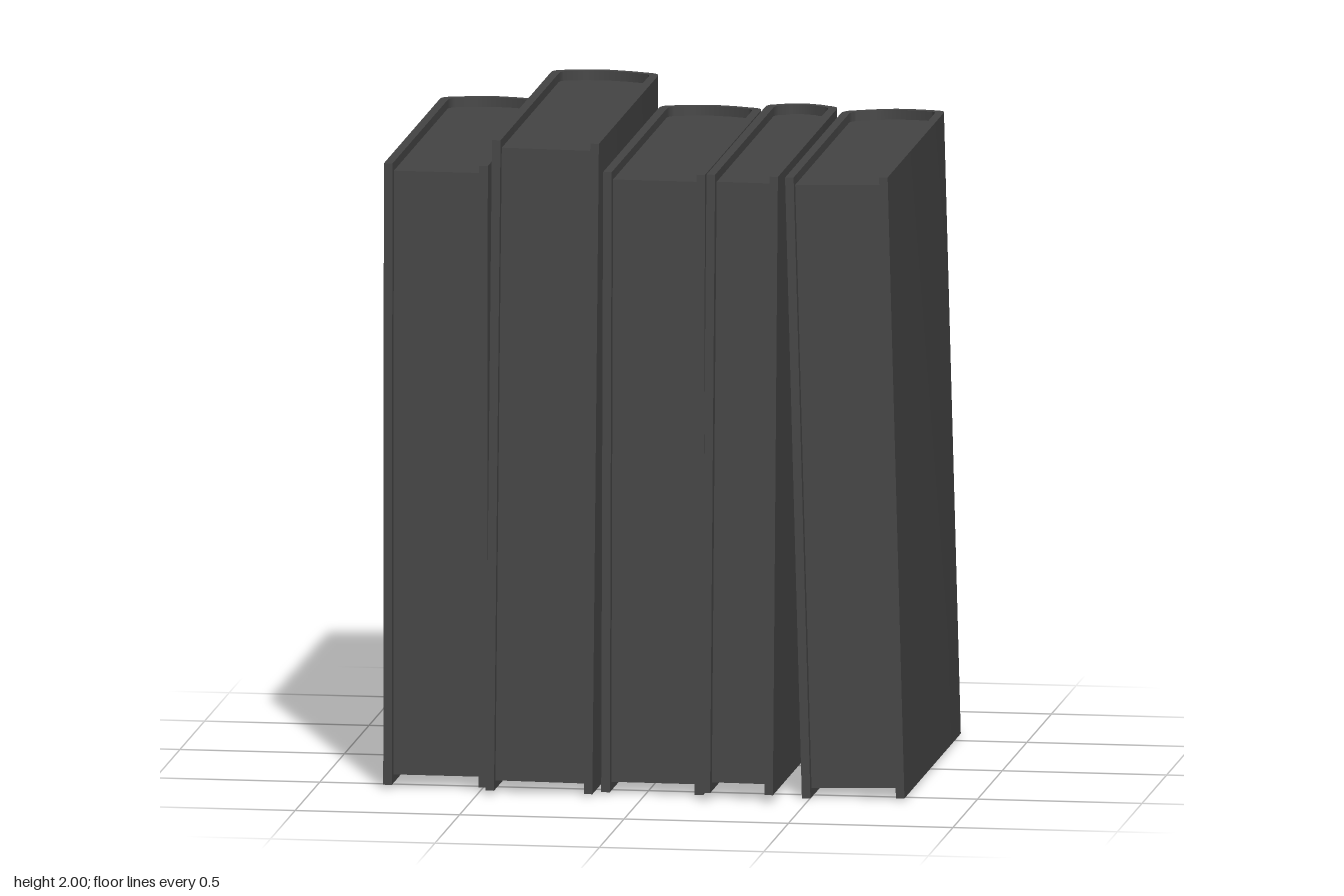
import * as THREE from 'three';
import { toCreasedNormals } from 'three/addons/utils/BufferGeometryUtils.js';

const material = new THREE.MeshStandardMaterial({ color: 0x444444, side: THREE.DoubleSide });
const BOARD = 0.026;

// Arched end of a book, right edge to left edge: rounded shoulders and a low central ridge.
// half = half width, edge = where the shoulder starts, tip = ridge, r = shoulder radius
function arch(half, edge, shoulder, tip, r) {
  const right = [];
  for (let i = 0; i <= 4; i++) {
    const a = (i / 4) * 1.35;
    right.push([half - r + r * Math.cos(a), edge + (shoulder - edge) * Math.sin(a)]);
  }
  right.push([half * 0.45, shoulder + (tip - shoulder) * 0.6]);
  const left = right.map(([x, d]) => [-x, d]).reverse();
  return [...right, [0, tip], ...left];
}

// Upright prism from a plan outline of (x, -z) points
function prism(points, y0, height, name) {
  const shape = new THREE.Shape(points.map(([x, d]) => new THREE.Vector2(x, d)));
  const flat = new THREE.ExtrudeGeometry(shape, { depth: height, bevelEnabled: false });
  flat.rotateX(-Math.PI / 2).translate(0, y0, 0);
  const mesh = new THREE.Mesh(toCreasedNormals(flat, 0.7), material);
  mesh.name = name;
  return mesh;
}

function makeBook({ width, height, front, tip, pageFront }) {
  const book = new THREE.Group();
  const half = width / 2;
  const shoulder = tip - 0.03;

  // Hard cover: two boards joined by a curved spine
  const outer = arch(half, tip - 0.07, shoulder, tip, 0.035);
  const inner = arch(half - BOARD, tip - 0.085, shoulder - 0.02, tip - 0.02, 0.02).reverse();
  const cover = [
    [half, -front], ...outer, [-half, -front],
    [-half + BOARD, -front], ...inner, [half - BOARD, -front],
  ];
  book.add(prism(cover, 0, height, 'cover'));

  // Page block, set in from the cover at top, bottom and front
  const pageHalf = half - BOARD;
  const pages = [
    [pageHalf, -pageFront], ...arch(pageHalf, tip - 0.09, tip - 0.055, tip - 0.035, 0.04),
    [-pageHalf, -pageFront],
  ];
  book.add(prism(pages, 0.027, height - 0.054, 'pages'));
  return book;
}

export function createModel() {
  const model = new THREE.Group();
  model.name = 'bookRow';

  // x = centre of the base, lean = tilt about z
  const books = [
    { x: -0.637, y: 0.015, lean: -0.001, width: 0.316, height: 1.897, front: 0.58, pageFront: 0.55, tip: 0.63 },
    { x: -0.315, y: 0.012, lean: -0.010, width: 0.325, height: 1.986, front: 0.625, pageFront: 0.597, tip: 0.65 },
    { x: 0.025, y: 0.012, lean: -0.003, width: 0.31, height: 1.893, front: 0.595, pageFront: 0.565, tip: 0.615 },
    { x: 0.291, y: 0.026, lean: -0.008, width: 0.217, height: 1.888, front: 0.645, pageFront: 0.61, tip: 0.63 },
    { x: 0.632, y: 0.008, lean: 0.027, width: 0.312, height: 1.895, front: 0.568, pageFront: 0.54, tip: 0.645 },
  ];
  books.forEach((spec, i) => {
    const book = makeBook(spec);
    book.name = `book${i + 1}`;
    book.position.set(spec.x, spec.y, 0);
    book.rotation.z = spec.lean;
    model.add(book);
  });
  return model;
}
